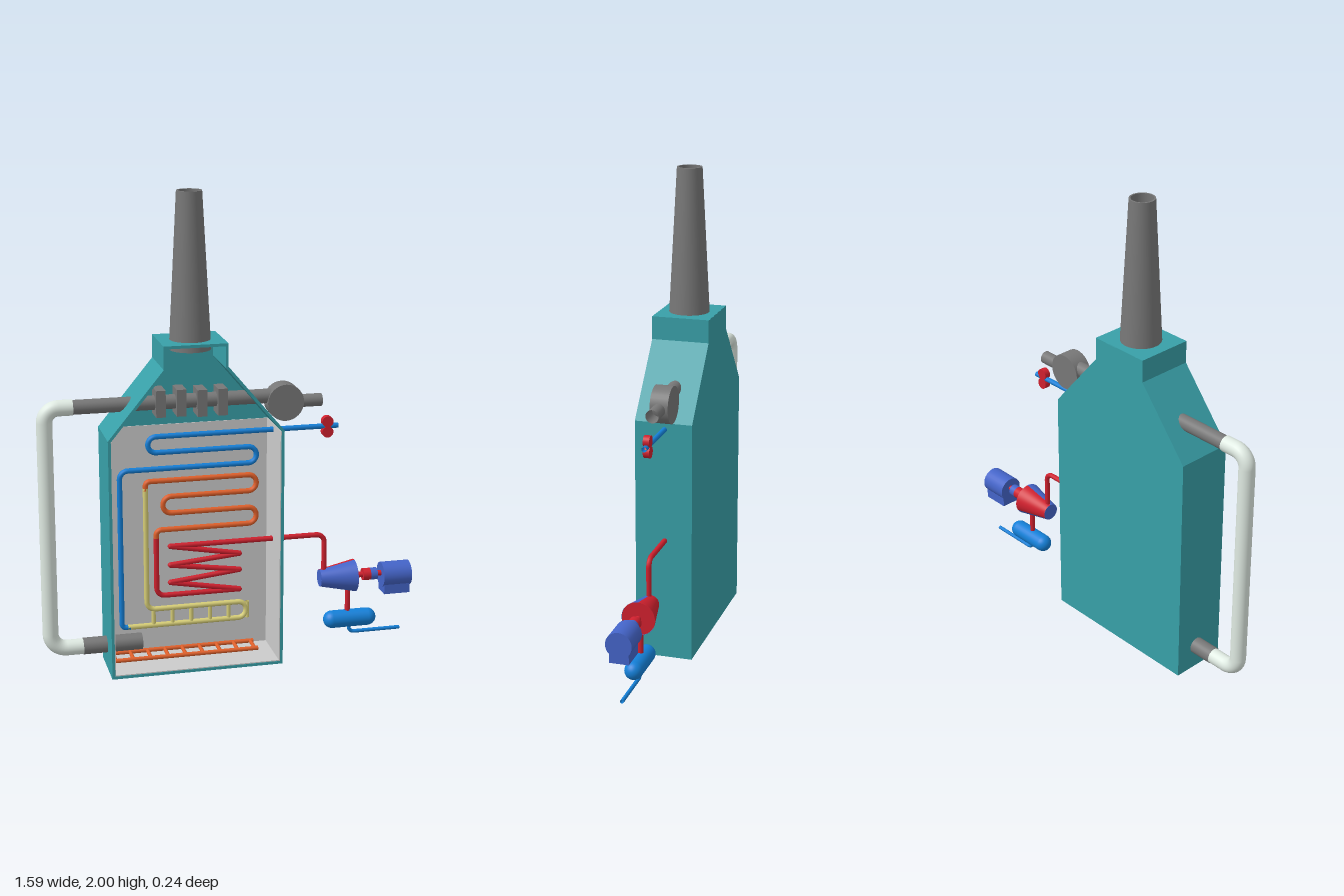
import * as THREE from 'three';

const V = (x, y, z = 0) => new THREE.Vector3(x, y, z);
const DUCT_Z = -0.015, PIPE_Z = -0.005;

const mat = (color) => new THREE.MeshStandardMaterial({ color, side: THREE.DoubleSide });

// Curve through a ready-made point list, so corners stay crisp
class PointPath extends THREE.Curve {
  constructor(points) { super(); this.points = points; }
  getPointAt(u) { return this.points[Math.round(u * (this.points.length - 1))].clone(); }
  getTangentAt(u) {
    const p = this.points, i = Math.round(u * (p.length - 1));
    return p[Math.min(i + 1, p.length - 1)].clone().sub(p[Math.max(i - 1, 0)]).normalize();
  }
}

// Tube along straight runs with rounded corners
function bentTube(corners, bend, radius, z, sides = 10) {
  const c = corners.map(([x, y]) => V(x, y, z));
  const pts = [c[0]];
  for (let i = 1; i < c.length - 1; i++) {
    const p = c[i], a = c[i - 1], b = c[i + 1];
    const r = Math.min(bend, p.distanceTo(a) * 0.499, p.distanceTo(b) * 0.499);
    const s = p.clone().lerp(a, r / p.distanceTo(a));
    const e = p.clone().lerp(b, r / p.distanceTo(b));
    pts.push(...new THREE.CubicBezierCurve3(s, s.clone().lerp(p, 0.552), e.clone().lerp(p, 0.552), e).getPoints(8));
  }
  pts.push(c[c.length - 1]);
  return new THREE.TubeGeometry(new PointPath(pts), pts.length - 1, radius, sides, false);
}

export function createModel() {
  const model = new THREE.Group();
  const teal = mat(0x38a0a8), lining = mat(0xcccccc), steel = mat(0x777777), white = mat(0xdfeae2);
  const blue = mat(0x1480d8), yellow = mat(0xd8cf78), orange = mat(0xe0602a), red = mat(0xd0202e), navy = mat(0x4464c8);

  const add = (name, geo, material, x = 0, y = 0, z = 0) => {
    const m = new THREE.Mesh(geo, material);
    m.name = name;
    m.position.set(x, y, z);
    model.add(m);
    return m;
  };
  const box = (name, material, x0, x1, y0, y1, z0, z1) =>
    add(name, new THREE.BoxGeometry(x1 - x0, y1 - y0, z1 - z0), material, (x0 + x1) / 2, (y0 + y1) / 2, (z0 + z1) / 2);
  // Cylinder lying along x, radius r0 at x0 and r1 at x1
  const barX = (name, material, x0, x1, r0, r1, y, z, open = false) => {
    const g = new THREE.CylinderGeometry(r1, r0, x1 - x0, 32, 1, open).rotateZ(-Math.PI / 2);
    return add(name, g, material, (x0 + x1) / 2, y, z);
  };
  const discZ = (name, material, x, y, z, r, depth) =>
    add(name, new THREE.CylinderGeometry(r, r, depth, 32).rotateX(Math.PI / 2), material, x, y, z);
  const extrude = (shape, depth) => new THREE.ExtrudeGeometry(shape, { depth, bevelEnabled: false, curveSegments: 24 });
  const outline = (pts) => new THREE.Shape(pts.map(([x, y]) => new THREE.Vector2(x, y)));

  // Casing: wall band open at the front and neck, back panel, pierced top plate
  const outer = [[-0.3, 1.4], [-0.3, 1.305], [-0.53, 1.025], [-0.53, 0], [0.2, 0], [0.2, 1.025], [-0.035, 1.305], [-0.035, 1.4]];
  const inner = [[-0.047, 1.4], [-0.047, 1.301], [0.188, 1.021], [0.188, 0.012], [-0.518, 0.012], [-0.518, 1.021], [-0.288, 1.301], [-0.288, 1.4]];
  add('casingWalls', extrude(outline([...outer, ...inner]), 0.24), teal, 0, 0, -0.12);
  add('casingBack', extrude(outline(outer), 0.012), teal, 0, 0, -0.1205);
  const plate = outline([[-0.1325, -0.12], [0.1325, -0.12], [0.1325, 0.12], [-0.1325, 0.12]]);
  plate.holes.push(new THREE.Path().absarc(0, 0, 0.082, 0, Math.PI * 2, true));
  add('casingTop', extrude(plate, 0.012).rotateX(-Math.PI / 2), teal, -0.1675, 1.389, 0);

  // Furnace lining
  box('liningBack', lining, -0.518, 0.188, 0.012, 1.021, -0.109, -0.105);
  box('liningLeft', lining, 0.184, 0.189, 0.012, 1.021, -0.109, 0.118);
  box('liningRight', lining, -0.519, -0.514, 0.012, 1.021, -0.109, 0.118);
  box('liningFloor', lining, -0.518, 0.188, 0.011, 0.016, -0.109, 0.118);

  // Chimney: hollow tapering stack
  const stack = [[0.078, 1.36], [0.086, 1.36], [0.052, 2], [0.045, 2], [0.078, 1.36]];
  for (let i = 0; i < 4; i++) {
    const g = new THREE.LatheGeometry(stack.slice(i, i + 2).map(([r, y]) => new THREE.Vector2(r, y)), 40);
    add('chimney', g, steel, -0.167, 0, 0);
  }

  // Air supply: blower, preheater with fins, down duct
  barX('airDuct', steel, -0.65, 0.21, 0.03, 0.03, 1.14, DUCT_Z, true);
  for (let i = 0; i < 4; i++) {
    const x = -0.295 + i * 0.086, y = i < 2 ? 1.142 : 1.136;
    box('preheaterFin', steel, x - 0.02, x + 0.02, y - 0.056, y + 0.056, DUCT_Z - 0.045, DUCT_Z + 0.045);
  }
  discZ('blower', steel, 0.232, 1.115, DUCT_Z, 0.077, 0.075);
  barX('blowerInlet', steel, 0.29, 0.393, 0.027, 0.027, 1.111, DUCT_Z, true);
  add('hotAirDuct', bentTube([[-0.65, 1.14], [-0.765, 1.14], [-0.765, 0.105], [-0.63, 0.105]], 0.125, 0.033, DUCT_Z, 24), white);
  barX('airNozzle', steel, -0.63, -0.38, 0.035, 0.035, 0.105, DUCT_Z, true);

  // Water and steam coils, from cold to hot
  const pipe = (name, material, corners, bend = 0.035, r = 0.011) => add(name, bentTube(corners, bend, r, PIPE_Z), material);
  pipe('feedWaterCoil', blue, [[0.465, 0.998], [-0.345, 0.998], [-0.345, 0.93], [0.113, 0.93], [0.113, 0.86],
    [-0.465, 0.86], [-0.465, 0.175], [-0.43, 0.175]]);
  pipe('evaporatorCoil', yellow, [[-0.44, 0.175], [0.07, 0.175], [0.07, 0.247], [-0.358, 0.247], [-0.358, 0.78]]);
  for (let i = 0; i < 6; i++) {
    const x = -0.33 + i * 0.081;
    pipe('evaporatorRiser', yellow, [[x, 0.175], [x, 0.247]], 0, 0.009);
  }
  pipe('superheaterCoil', orange, [[-0.358, 0.77], [-0.358, 0.808], [0.113, 0.808], [0.113, 0.738], [-0.285, 0.738],
    [-0.285, 0.666], [0.113, 0.666], [0.113, 0.595], [-0.315, 0.595], [-0.315, 0.55]]);
  pipe('hotSteamPipe', red, [[-0.315, 0.56], [-0.315, 0.305], [-0.2, 0.305]]);
  pipe('hotSteamZigzag', red, [[-0.21, 0.305], [0.045, 0.305], [-0.26, 0.36], [0.045, 0.393], [-0.26, 0.437],
    [0.045, 0.465], [-0.26, 0.52], [0.1, 0.52]], 0.005);
  pipe('steamOutlet', red, [[0.08, 0.52], [0.413, 0.52], [0.413, 0.33]]);

  // Feed valve
  for (const y of [1.018, 0.974]) discZ('valveLobe', red, 0.418, y, PIPE_Z, 0.024, 0.026);

  // Burner grate
  for (const z of [-0.05, 0.035]) add('grateRail', bentTube([[-0.52, 0.045], [0.113, 0.045]], 0, 0.009, z), orange);
  for (let i = 0; i < 9; i++) {
    const g = new THREE.CylinderGeometry(0.008, 0.008, 0.085, 10).rotateX(Math.PI / 2);
    add('grateRung', g, orange, -0.5 + i * 0.075, 0.045, -0.0075);
  }

  // Turbine: tapered housing with a red sector and red exhaust face
  const sector = (name, material, start, length) => {
    const g = new THREE.CylinderGeometry(0.07, 0.037, 0.155, 32, 1, true, start, length).rotateZ(-Math.PI / 2);
    add(name, g, material, 0.472, 0.323, PIPE_Z);
  };
  sector('turbineHousing', navy, -Math.PI / 2, Math.PI * 1.33);
  sector('turbineHotSide', red, Math.PI * 0.83, Math.PI * 0.67);
  barX('turbineInletFace', navy, 0.394, 0.397, 0.037, 0.037, 0.323, PIPE_Z);
  barX('turbineExhaustFace', red, 0.546, 0.55, 0.069, 0.069, 0.323, PIPE_Z);

  // Shaft, coupling and generator
  barX('shaft', red, 0.54, 0.68, 0.012, 0.012, 0.323, PIPE_Z);
  barX('couplingRed', red, 0.587, 0.62, 0.026, 0.026, 0.323, PIPE_Z);
  barX('couplingBlue', navy, 0.62, 0.65, 0.026, 0.026, 0.323, PIPE_Z);
  barX('generator', navy, 0.67, 0.795, 0.054, 0.054, 0.316, PIPE_Z);
  box('generatorBase', navy, 0.675, 0.79, 0.238, 0.31, PIPE_Z - 0.04, PIPE_Z + 0.04);

  // Condenser with its steam inlet and drain
  pipe('exhaustPipe', red, [[0.522, 0.29], [0.522, 0.14]], 0);
  add('condenser', new THREE.CapsuleGeometry(0.038, 0.158, 8, 28).rotateZ(Math.PI / 2), blue, 0.532, 0.128, PIPE_Z);
  pipe('condensateDrain', blue, [[0.53, 0.11], [0.53, 0.064], [0.76, 0.064]], 0.025, 0.008);

  return model;
}
